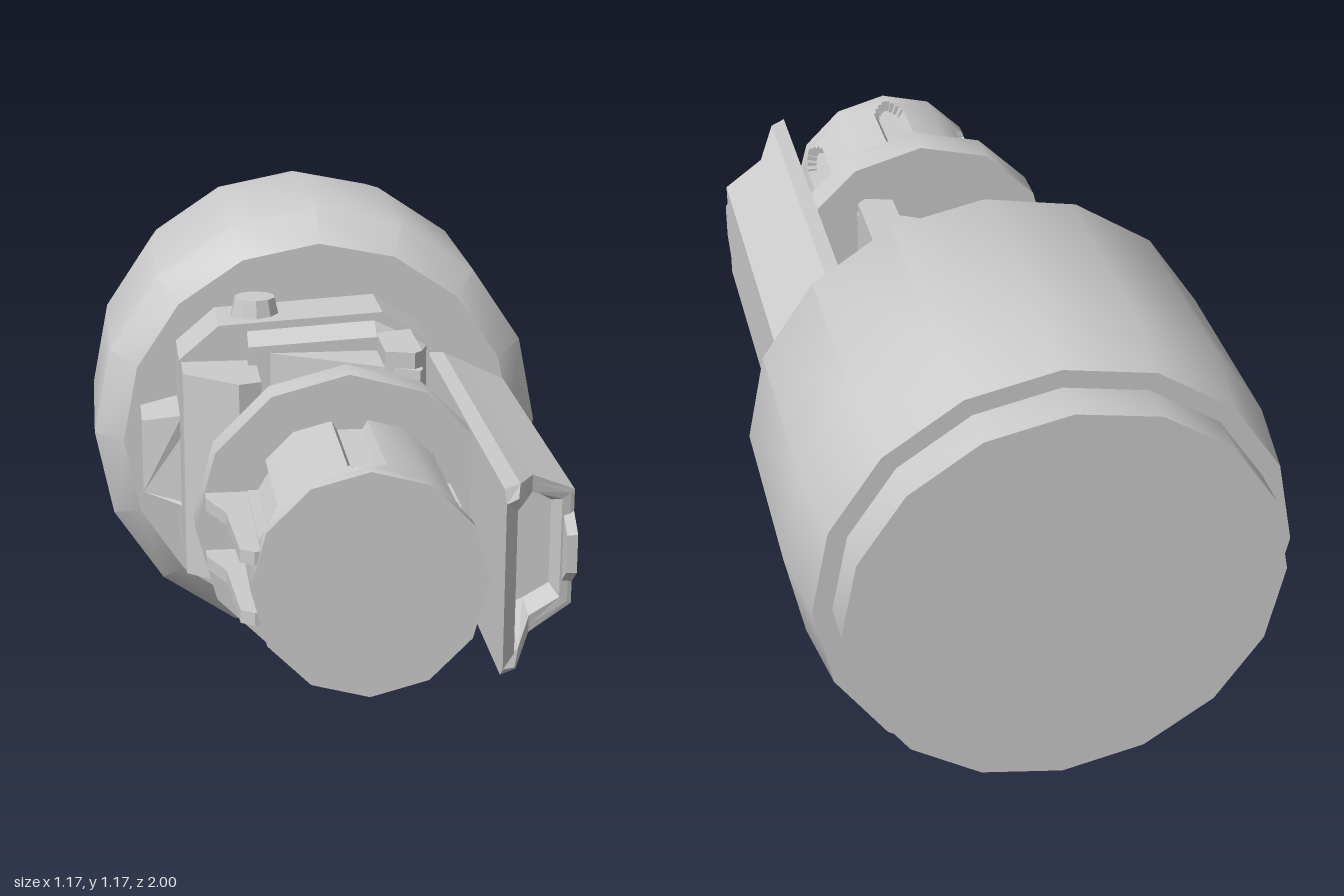
import * as THREE from 'three';
import { toCreasedNormals, mergeGeometries } from 'three/addons/utils/BufferGeometryUtils.js';

const CY = 0.59; // height of the main axis
const smooth = new THREE.MeshStandardMaterial({ color: 0xcccccc });
const flat = new THREE.MeshStandardMaterial({ color: 0xcccccc, flatShading: true });

// Skin through counter-clockwise rings of [x, y, z], capped at both ends
function loft(rings) {
  const pos = [];
  const n = rings[0].length;
  const tri = (a, b, c) => pos.push(...a, ...b, ...c);
  for (let i = 0; i < rings.length - 1; i++) {
    for (let j = 0; j < n; j++) {
      const k = (j + 1) % n;
      tri(rings[i][j], rings[i][k], rings[i + 1][k]);
      tri(rings[i][j], rings[i + 1][k], rings[i + 1][j]);
    }
  }
  const last = rings[rings.length - 1];
  for (let j = 1; j < n - 1; j++) {
    tri(rings[0][0], rings[0][j + 1], rings[0][j]);
    tri(last[0], last[j], last[j + 1]);
  }
  const g = new THREE.BufferGeometry();
  g.setAttribute('position', new THREE.Float32BufferAttribute(pos, 3));
  g.computeVertexNormals();
  return g;
}

// Ring symmetric about the axis height, from its lower half of [x, offset, z]
const symmetric = (half) => [
  ...half.map(([x, d, z]) => [x, CY - d, z]),
  ...half.slice().reverse().map(([x, d, z]) => [x, CY + d, z]),
];

const extrude = (pts, depth) => new THREE.ExtrudeGeometry(
  new THREE.Shape(pts.map(([x, y]) => new THREE.Vector2(x, y))), { depth, bevelEnabled: false });

// Plan outline of [x, z] raised between two heights
const slab = (plan, y0, y1) =>
  extrude(plan.map(([x, z]) => [x, -z]), y1 - y0).rotateX(-Math.PI / 2).translate(0, y0, 0);

// Twelve-sided section, with six grooves of the given half width
function knobSection(half) {
  const pts = [];
  for (let i = 0; i < 12; i++) {
    const a = Math.PI / 2 + i * Math.PI / 6;
    const c = Math.cos(a), s = Math.sin(a);
    const at = (r, t) => pts.push([c * r - s * t, s * r + c * t]);
    if (half && i % 2 === 0) {
      const edge = 0.26 - half * Math.tan(Math.PI / 12);
      at(edge, -half);
      at(0.228, -half * 0.7);
      at(0.228, half * 0.7);
      at(edge, half);
    } else at(0.26, 0);
  }
  return pts;
}

export function createModel() {
  const model = new THREE.Group();
  const add = (name, geometry, material = flat) => {
    const mesh = new THREE.Mesh(geometry, material);
    mesh.name = name;
    model.add(mesh);
    return mesh;
  };

  // Large rear drum with a stepped back and chamfered front
  const profile = [[0, -1], [0.51, -1], [0.51, -0.9], [0.555, -0.9], [0.585, -0.7],
    [0.585, -0.22], [0.51, -0.14], [0, -0.14]].map(([r, z]) => new THREE.Vector2(r, z));
  const drum = new THREE.LatheGeometry(profile, 16).rotateX(Math.PI / 2).translate(0, CY, 0);
  add('drum', toCreasedNormals(drum, 0.76), smooth);

  // Mounting block in front of the drum, tapering forward
  const block = (z, sx, sd) => symmetric([[-0.37, 0.265, z], [-0.27, 0.35, z], [0.14, 0.375, z], [0.26, 0.295, z]]
    .map(([x, d]) => [x * sx, d * sd, z]));
  add('mountingBlock', loft([block(-0.15, 1, 1), block(0.05, 1, 1)]));
  const nose = (z, x1, sd) => symmetric([[-0.2, 0.34 * sd, z], [0.12, 0.36 * sd, z], [x1, 0.29 * sd, z]]);
  add('blockNose', loft([nose(0.04, 0.26, 1), nose(0.1, 0.21, 0.9)]));

  // Wedge on the right flank of the block
  const wedge = (z0, z1) => symmetric([[-0.465, 0.095, z0], [-0.365, 0.12, z1], [-0.33, 0.12, z1]]);
  add('sideWedge', loft([wedge(-0.15, -0.15), wedge(0, 0.05)]));

  // Two pointed jaws
  add('rightJaw', slab([[-0.365, 0.03], [-0.365, 0.16], [-0.235, 0.27], [-0.18, 0.25], [-0.18, 0.03]], 0.33, 0.85));
  add('leftJaw', slab([[-0.18, 0.08], [0.2, 0.3], [0.21, 0.28], [0.21, 0.05]], 0.3, 0.88));
  for (const s of [-1, 1]) {
    add('jawRib', slab([[0.12, 0.08], [0.12, 0.26], [0.19, 0.28], [0.21, 0.26], [0.21, 0.05]],
      CY + s * 0.305 - 0.025, CY + s * 0.305 + 0.025));
  }

  // Tapered bolts above and below the block
  for (const s of [-1, 1]) {
    const bolt = add('bolt', new THREE.CylinderGeometry(0.052, 0.068, 0.07, 10));
    bolt.position.set(-0.173, CY + s * 0.365, -0.045);
    if (s < 0) bolt.rotation.x = Math.PI;
  }

  // Flange, cut flat where it meets the arm
  const r = 0.358;
  const disc = [];
  for (let i = 0; i < 12; i++) {
    const a = i * Math.PI / 6;
    if (i === 0) continue;
    if (i === 1) disc.push([0.285, 0.207]);
    else if (i === 11) disc.push([0.285, -0.207]);
    else disc.push([r * Math.cos(a), r * Math.sin(a)]);
  }
  add('flange', toCreasedNormals(extrude(disc, 0.09).translate(0, CY, 0.46), 0.6), smooth);

  // Knob with six grooves whose front ends narrow to a round
  const layers = [[0.54, 0.88, 0.042], [0.88, 0.9, 0.035], [0.9, 0.915, 0.024], [0.915, 0.925, 0.012], [0.925, 0.96, 0]];
  const knob = mergeGeometries(layers.map(([z0, z1, half]) =>
    extrude(knobSection(half), z1 - z0).translate(0, CY, z0)));
  add('knob', toCreasedNormals(knob, 0.55), smooth);

  // Pair of thin fins on the right of the knob
  for (const y of [0.52, 0.66]) {
    add('fin', slab([[-0.2, 0.54], [-0.335, 0.54], [-0.335, 0.59], [-0.295, 0.69],
      [-0.28, 0.93], [-0.25, 0.95], [-0.2, 0.94]], y - 0.015, y + 0.015));
  }

  // Long arm with a slanted, hollowed front end
  const outer = [[0.285, 0.215], [0.325, 0.215], [0.38, 0.188], [0.485, 0.137]];
  const inner = [[0.315, 0.165], [0.33, 0.165], [0.38, 0.148], [0.455, 0.118]];
  const floor = [[0.335, 0.15], [0.345, 0.15], [0.38, 0.135], [0.44, 0.1]];
  const place = (half, zs) => symmetric(half.map(([x, d], i) => [x, d, zs[i]]));
  add('arm', loft([
    place(outer, [-0.15, -0.15, -0.15, -0.15]),
    place(outer, [0.97, 0.94, 0.8, 0.76]),
    place([[0.285, 0.19], [0.315, 0.195], [0.38, 0.17], [0.475, 0.13]], [1, 0.98, 0.8, 0.765]),
    place(inner, [0.97, 0.94, 0.8, 0.77]),
    place(floor, [0.72, 0.72, 0.72, 0.72]),
  ]));

  // Small tab on the arm's outer lip
  add('armTab', loft([
    symmetric([[0.46, 0.09, 0.72], [0.485, 0.09, 0.72]]),
    symmetric([[0.46, 0.085, 0.76], [0.485, 0.085, 0.76]]),
    symmetric([[0.46, 0.045, 0.81], [0.485, 0.045, 0.81]]),
  ]));

  return model;
}
